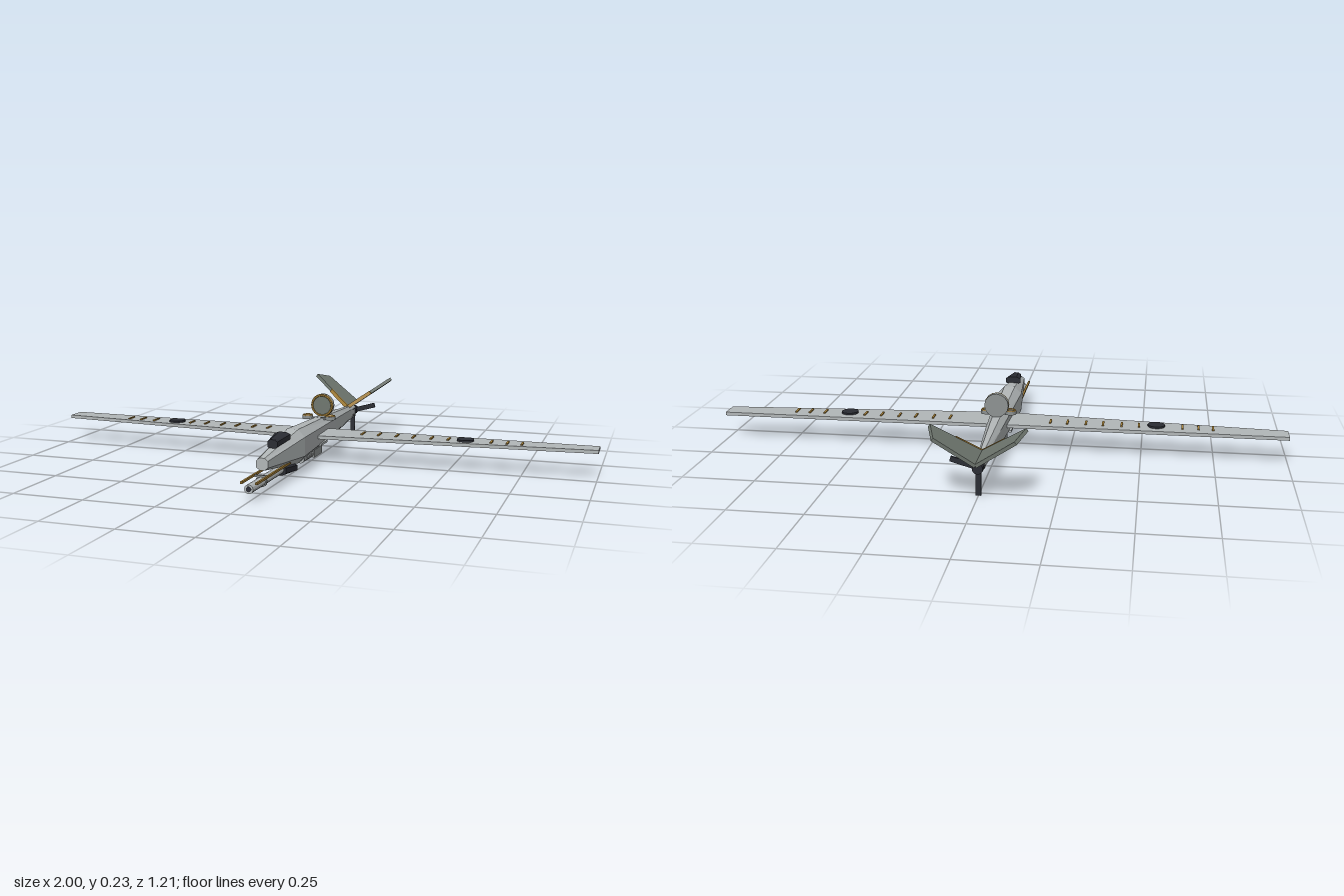
import * as THREE from 'three';

const mat = (name, color) => {
  const m = new THREE.MeshStandardMaterial({ color });
  m.name = name;
  return m;
};

export function createModel() {
  const model = new THREE.Group();
  model.name = 'droneAircraft';
  const grey = mat('hullGrey', 0xb2b7b8);
  const steel = mat('steelGrey', 0x8d9292);
  const tailGrey = mat('tailGreen', 0x6f776f);
  const dark = mat('darkGunmetal', 0x2a2c33);
  const gold = mat('brass', 0xa88238);

  // Facets a geometry, then adds it as a named mesh
  const add = (name, geo, material, x = 0, y = 0, z = 0, parent = model) => {
    const g = geo.index ? geo.toNonIndexed() : geo;
    g.computeVertexNormals();
    const mesh = new THREE.Mesh(g, material);
    mesh.name = name;
    mesh.position.set(x, y, z);
    parent.add(mesh);
    return mesh;
  };
  const box = (w, h, d) => new THREE.BoxGeometry(w, h, d);
  const cyl = (r, len, n = 12) => new THREE.CylinderGeometry(r, r, len, n);
  const rod = (r, len, n = 12) => cyl(r, len, n).rotateX(Math.PI / 2);
  // Flat plate from [x, z] outline, thickness centred on y = 0
  const plate = (pts, t) => {
    const shape = new THREE.Shape(pts.map(p => new THREE.Vector2(...p)));
    return new THREE.ExtrudeGeometry(shape, { depth: t, bevelEnabled: false })
      .rotateX(Math.PI / 2).translate(0, t / 2, 0);
  };

  // Eight-sided body lofted through stations [z, half width, bottom, top]
  const loft = stations => {
    const rings = stations.map(([z, w, b, t]) => {
      const c = (t - b) * 0.22, n = w * 0.45;
      return [[n, b], [w, b + c], [w, t - c], [n, t], [-n, t], [-w, t - c], [-w, b + c], [-n, b]]
        .map(p => [p[0], p[1], z]);
    });
    const v = [];
    for (let s = 0; s < rings.length - 1; s++) {
      for (let i = 0; i < 8; i++) {
        const j = (i + 1) % 8, [p, q] = [rings[s], rings[s + 1]];
        v.push(...p[i], ...q[i], ...p[j], ...p[j], ...q[i], ...q[j]);
      }
    }
    const f = rings[0], r = rings[rings.length - 1];
    for (let i = 1; i < 7; i++) v.push(...f[0], ...f[i], ...f[i + 1], ...r[0], ...r[i + 1], ...r[i]);
    const g = new THREE.BufferGeometry();
    g.setAttribute('position', new THREE.Float32BufferAttribute(v, 3));
    return g;
  };
  add('fuselage', loft([
    [0.49, 0.02, 0.075, 0.115], [0.2, 0.044, 0.036, 0.154],
    [-0.2, 0.028, 0.05, 0.139], [-0.45, 0.014, 0.067, 0.123], [-0.51, 0.014, 0.071, 0.12],
  ]), grey);

  // Tapered wing with a straight trailing edge
  add('wing', plate([[-1, -0.1], [1, -0.1], [1, -0.03], [0, 0.045], [-1, -0.03]], 0.012), grey, 0, 0.096, 0);

  for (const s of [1, -1]) {
    // Wing markings
    for (const x of [0.18, 0.24, 0.305, 0.365, 0.43, 0.49, 0.64, 0.695, 0.745]) {
      add('wingStripe', box(0.007, 0.005, 0.042), gold, s * x, 0.1035, -0.045);
    }
    add('wingDisc', cyl(0.03, 0.007), dark, s * 0.55, 0.105, -0.042);

    // V-tail fin with brass leading edge
    const fin = new THREE.Group();
    fin.name = 'tailFin';
    fin.position.y = 0.12;
    fin.rotation.z = s * 0.616;
    model.add(fin);
    add('finPanel', plate([[0, -0.445], [s * 0.19, -0.525], [s * 0.158, -0.608], [0, -0.58]], 0.012), tailGrey, 0, 0, 0, fin);
    add('finLeadingEdge', plate([[0, -0.438], [s * 0.1, -0.481], [s * 0.1, -0.489], [0, -0.447]], 0.014), gold, 0, 0, 0, fin);

    // Sensor pucks on the spine
    add('sensorPuck', cyl(0.02, 0.012), steel, s * 0.043, 0.144, -0.085);
    add('sensorRing', new THREE.TorusGeometry(0.015, 0.004, 6, 12).rotateX(Math.PI / 2), gold, s * 0.043, 0.15, -0.085);
    add('sensorArm', box(0.03, 0.008, 0.012), steel, s * 0.02, 0.14, -0.085);

    // Side rails and tail vents
    add('sideRail', box(0.01, 0.008, 0.075), grey, s * 0.037, 0.064, -0.022);
    for (const y of [0.085, 0.108]) add('tailVent', box(0.003, 0.004, 0.03), steel, s * 0.0145, y, -0.485);

    // Brass guide rails beside the barrel
    add('gunRail', box(0.007, 0.007, 0.31), gold, s * 0.025, 0.06, 0.45);
  }

  // Spine dish facing forward
  add('dishBack', rod(0.042, 0.016, 16), steel, 0, 0.182, -0.131);
  add('dishFace', rod(0.034, 0.006, 16), tailGrey, 0, 0.182, -0.122);
  add('dishRim', new THREE.TorusGeometry(0.038, 0.005, 6, 16), gold, 0, 0.182, -0.122);
  add('dishMount', box(0.024, 0.02, 0.016), steel, 0, 0.14, -0.131);

  // Nose gun
  add('gunBarrel', rod(0.015, 0.29), grey, 0, 0.041, 0.46);
  add('gunMuzzle', rod(0.009, 0.004), dark, 0, 0.041, 0.604);
  add('gunCollar', rod(0.019, 0.008), steel, 0, 0.041, 0.495);
  add('gunBridge', box(0.052, 0.006, 0.01), steel, 0, 0.058, 0.495);
  add('gunHousing', loft([[0.33, 0.022, 0.022, 0.055], [0.235, 0.03, 0.014, 0.045]]), dark);

  // Canopy sensor block, narrower at the front
  add('canopySensor', loft([[0.396, 0.017, 0.125, 0.156], [0.3, 0.028, 0.135, 0.164]]), dark);

  // Belly launcher with ringed barrel
  add('bellyPod', box(0.036, 0.028, 0.085), steel, 0, 0.031, -0.024);
  add('bellyBarrel', rod(0.009, 0.11, 10), steel, 0, 0.031, 0.068);
  for (let i = 0; i < 5; i++) add('barrelRing', rod(0.014, 0.013, 10), grey, 0, 0.03, 0.115 - i * 0.023);
  add('bellyMount', box(0.02, 0.02, 0.12), steel, 0, 0.044, 0.02);

  // Pusher propeller
  add('propellerHub', rod(0.018, 0.036, 10), dark, 0, 0.096, -0.522);
  for (const a of [0, 1.85]) {
    const blade = add('propellerBlade', box(0.018, 0.092, 0.006).translate(0, -0.048, 0), dark, 0, 0.095, -0.52);
    blade.rotation.z = a;
  }
  return model;
}
